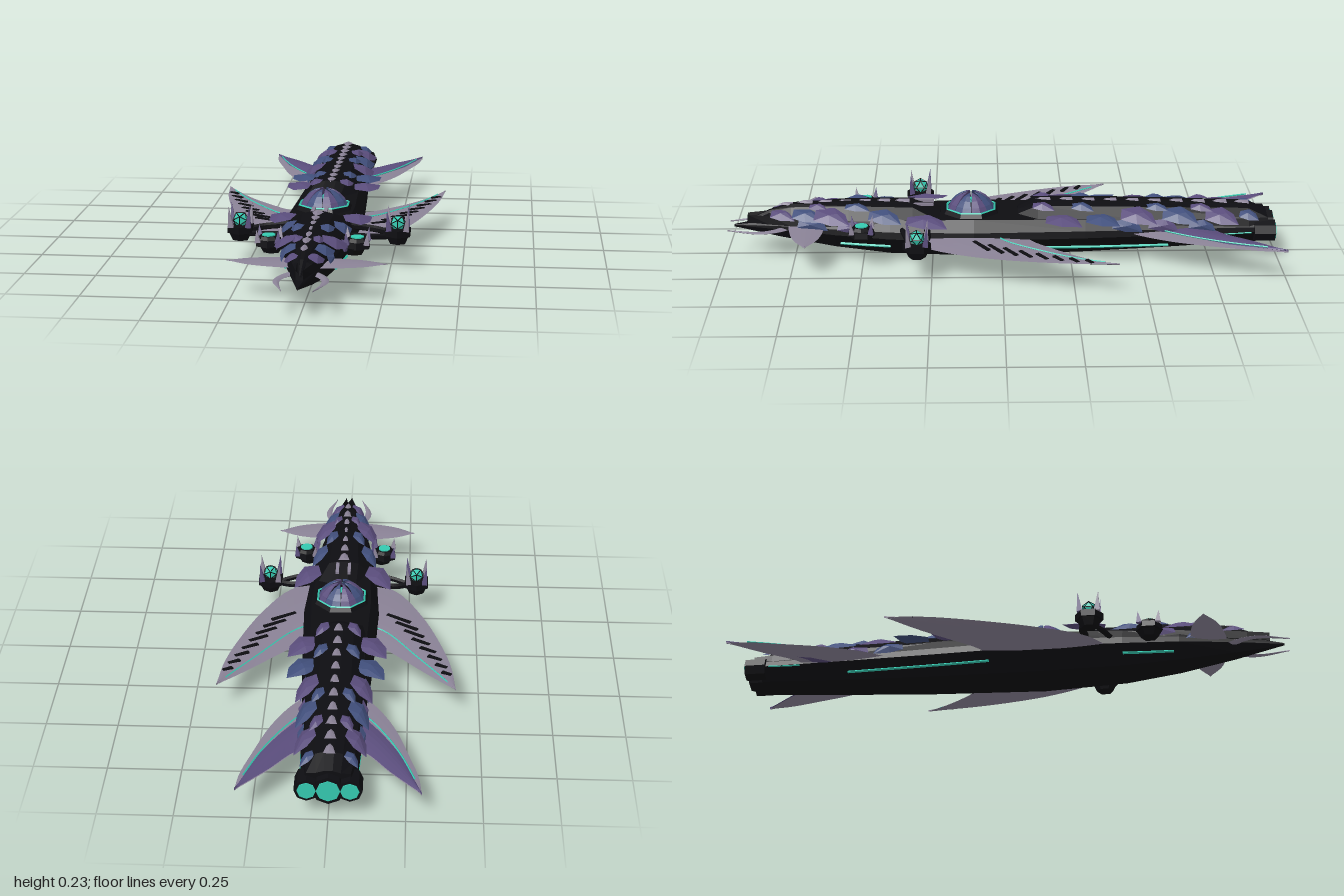
import * as THREE from 'three';
import { ConvexGeometry } from 'three/addons/geometries/ConvexGeometry.js';

const mat = (color) => new THREE.MeshStandardMaterial({ color, flatShading: true, side: THREE.DoubleSide });
const BLACK = mat(0x0d0d11), PURPLE = mat(0x5a4d7c), BLUE = mat(0x414f7c), GREY = mat(0x8a8296), TEAL = mat(0x35c9b0);
const V = (x, y, z) => new THREE.Vector3(x, y, z);

function add(parent, name, geo, material, x = 0, y = 0, z = 0) {
  const m = new THREE.Mesh(geo, material);
  m.name = name;
  m.position.set(x, y, z);
  parent.add(m);
  return m;
}

// Skin closed rings of points, with a cap on both ends
function loft(rings) {
  const pos = [], tri = (...p) => p.forEach((v) => pos.push(v.x, v.y, v.z));
  const n = rings[0].length;
  for (let i = 0; i < rings.length - 1; i++) {
    for (let j = 0; j < n; j++) {
      const k = (j + 1) % n, a = rings[i], b = rings[i + 1];
      tri(a[j], a[k], b[k]);
      tri(a[j], b[k], b[j]);
    }
  }
  const last = rings[rings.length - 1];
  for (let j = 1; j < n - 1; j++) {
    tri(rings[0][0], rings[0][j + 1], rings[0][j]);
    tri(last[0], last[j], last[j + 1]);
  }
  const g = new THREE.BufferGeometry();
  g.setAttribute('position', new THREE.Float32BufferAttribute(pos, 3));
  g.computeVertexNormals();
  return g;
}

// Mirror a half section (bottom to top) into a full ring
function ring(half, z) {
  const right = half.map(([x, y]) => V(x, y, z));
  return [...right, ...half.slice().reverse().map(([x, y]) => V(-x, y, z))];
}

// Curved blade between two edges given in (x, z), both running root to tip
function blade(lead, trail, thick, height) {
  const curve = (pts) => new THREE.CatmullRomCurve3(pts.map(([x, z]) => V(x, 0, z)));
  const a = curve(lead), b = curve(trail);
  const at = (t, s, side = 0) => {
    const p = a.getPoint(t).lerp(b.getPoint(t), s);
    p.y = height(p.x) + side * thick * Math.sin(Math.PI * s) * (1 - 0.7 * t);
    return p;
  };
  const rings = [];
  for (let i = 0; i <= 18; i++) {
    const t = i / 18, r = [];
    for (let j = 0; j < 6; j++) r.push(at(t, j / 6, 1));
    for (let j = 6; j > 0; j--) r.push(at(t, j / 6, -1));
    rings.push(r);
  }
  return { geo: loft(rings), at };
}

function tube(points, r, sides = 4) {
  return new THREE.TubeGeometry(new THREE.CatmullRomCurve3(points), 16, r, sides);
}

// Faceted scale with a swept back outer corner, unit size
const scaleGeo = new ConvexGeometry([
  V(-0.7, 0, 0.9), V(0.4, 0, 1), V(0.95, 0, 0.1), V(1, 0, -1), V(-0.2, 0, -0.75), V(-1, 0, -0.1), V(0.1, 1, 0.15), V(-0.1, 0.8, -0.3)]);
const chevronGeo = new ConvexGeometry([
  V(-1, 0, -1), V(-0.6, 0, 0.4), V(0, 0, 1), V(0.6, 0, 0.4), V(1, 0, -1), V(0, 0.8, -0.9), V(0, 0.8, 0.3)]);

function hull(g) {
  // z, half width, keel height, deck height
  const stations = [[-0.93, 0.092, 0.047, 0.15], [-0.6, 0.108, 0.027, 0.155], [-0.3, 0.123, 0.012, 0.16], [0.1, 0.14, 0.001, 0.165],
    [0.4, 0.122, 0.01, 0.16], [0.6, 0.092, 0.033, 0.155], [0.8, 0.045, 0.067, 0.14], [0.97, 0.003, 0.106, 0.114]];
  add(g, 'hull', loft(stations.map(([z, w, k, d]) => {
    const mid = k + (d - k) * 0.58;
    return ring([[0.001, k], [w * 0.64, k + (mid - k) * 0.22], [w, mid], [w * 0.97, mid + (d - mid) * 0.4], [w * 0.78, d]], z);
  })), BLACK);
  // z, base half width, roof half width, roof height
  const house = (name, list) => add(g, name, loft(list.map(([z, w, r, t]) =>
    ring([[w, 0.125], [w * 0.9, 0.155], [r, t - 0.008], [r * 0.35, t]], z))), BLACK);
  house('rearDeckhouse', [[-0.96, 0.08, 0.04, 0.165], [-0.89, 0.09, 0.045, 0.19], [-0.5, 0.104, 0.055, 0.2], [-0.13, 0.115, 0.055, 0.207], [-0.06, 0.1, 0.04, 0.172]]);
  house('foreDeckhouse', [[0.22, 0.11, 0.05, 0.17], [0.32, 0.115, 0.055, 0.202], [0.55, 0.095, 0.045, 0.205], [0.76, 0.055, 0.025, 0.195], [0.84, 0.035, 0.015, 0.17], [0.92, 0.012, 0.005, 0.132]]);
  const chevron = (z, y, w) => add(g, 'spineChevron', chevronGeo, GREY, 0, y, z).scale.set(w, 0.01, 0.028);
  for (let i = 0; i < 10; i++) chevron(-0.87 + i * 0.08, 0.19 + i * 0.0016, 0.02);
  for (let i = 0; i < 7; i++) chevron(0.36 + i * 0.07, i < 6 ? 0.202 - i * 0.001 : 0.19, 0.021 - i * 0.001);
  for (const x of [-0.022, 0.022]) add(g, 'deckSlat', new THREE.BoxGeometry(0.012, 0.01, 0.09), GREY, x, 0.195, 0.29);
}

function dome(g) {
  const d = new THREE.Group();
  d.name = 'dome';
  d.position.z = 0.11;
  g.add(d);
  const turn = Math.PI / 8;
  add(d, 'domeBase', new THREE.CylinderGeometry(0.095, 0.115, 0.03, 8), BLACK, 0, 0.163, 0).rotation.y = turn;
  const rim = add(d, 'domeRim', new THREE.TorusGeometry(0.092, 0.004, 4, 8), TEAL, 0, 0.179, 0);
  rim.rotation.set(Math.PI / 2, 0, turn);
  add(d, 'domeCore', new THREE.SphereGeometry(0.06, 8, 4, 0, Math.PI * 2, 0, Math.PI / 2), BLACK, 0, 0.155, 0).scale.y = 0.75;
  add(d, 'domeLight', new THREE.OctahedronGeometry(0.016), TEAL, 0, 0.2, 0);
  // Petals taper to a point: radius, height, share of the half angle
  const rows = [[0.084, 0.175, 0.98], [0.073, 0.196, 0.97], [0.055, 0.215, 0.9], [0.036, 0.228, 0.7], [0.018, 0.234, 0.1]];
  const petal = loft(rows.map(([r, y, s]) => [[r, -s], [r + 0.003, 0], [r, s], [r - 0.005, s], [r - 0.005, -s]]
    .map(([q, a]) => V(q * Math.sin(a * turn), y, q * Math.cos(a * turn)))));
  for (let i = 0; i < 8; i++) add(d, 'domePetal', petal, i % 2 ? BLUE : PURPLE).rotation.y = (2 * i + 1) * turn;
}

function engines(g) {
  for (const [x, r] of [[-0.07, 0.041], [0, 0.052], [0.07, 0.041]]) {
    add(g, 'engine', new THREE.CylinderGeometry(r, r, 0.075, 8), BLACK, x, 0.105, -0.948).rotation.x = Math.PI / 2;
    add(g, 'engineGlow', new THREE.CylinderGeometry(r * 0.75, r * 0.75, 0.004, 8), TEAL, x, 0.105, -0.987).rotation.x = Math.PI / 2;
  }
}

function wings(g) {
  // Blade sags in the middle and curls up at the tip
  const wing = blade([[0.12, 0.34], [0.21, 0.27], [0.3, 0.1], [0.36, -0.08], [0.4, -0.25], [0.415, -0.4]],
    [[0.1, -0.08], [0.16, -0.12], [0.23, -0.19], [0.33, -0.3], [0.415, -0.4]], 0.011,
    (x) => 0.097 + (Math.max(0, x - 0.26) / 0.155) ** 2 * 0.017);
  add(g, 'mainWing', wing.geo, GREY);
  const line = [];
  for (let i = 0; i <= 8; i++) line.push(wing.at(0.1 + i * 0.1, 0.75, 1.15));
  add(g, 'wingLightLine', tube(line, 0.003), TEAL);
  for (let i = 0; i < 8; i++) {
    const p = wing.at(0.27 + i * 0.08, 0.42, 1.05);
    add(g, 'wingRib', new THREE.BoxGeometry(0.1 - i * 0.009, 0.006, 0.014), BLACK, p.x, p.y, p.z).rotation.y = 0.55;
  }

  const tailLead = [[0.08, -0.43], [0.15, -0.52], [0.21, -0.64], [0.26, -0.8], [0.29, -0.91], [0.3, -1.0]];
  const tailTrail = [[0.07, -0.76], [0.12, -0.79], [0.2, -0.89], [0.3, -1.0]];
  const tail = blade(tailLead, tailTrail, 0.009, () => 0.11);
  add(g, 'tailFin', tail.geo, GREY);
  const cover = blade([[0.08, -0.54], [0.14, -0.62], [0.22, -0.77], [0.3, -1.0]], tailTrail, 0.014, () => 0.114);
  add(g, 'tailFinCover', cover.geo, PURPLE);
  const edge = [];
  for (let i = 0; i <= 6; i++) edge.push(cover.at(i * 0.15, 0.02, 1).add(V(0, 0.006, 0)));
  add(g, 'tailLightLine', tube(edge, 0.003), TEAL);

  add(g, 'frontFin', blade([[0.03, 0.77], [0.1, 0.763], [0.19, 0.74], [0.265, 0.695]],
    [[0.03, 0.65], [0.1, 0.642], [0.19, 0.657], [0.265, 0.695]], 0.006, () => 0.122).geo, GREY);
  add(g, 'noseMandible', blade([[0.025, 0.74], [0.075, 0.81], [0.09, 0.88], [0.05, 0.99]],
    [[0.02, 0.8], [0.05, 0.83], [0.067, 0.88], [0.05, 0.99]], 0.008, () => 0.108).geo, GREY);
}

function armour(g) {
  // x, y, z, half width, half length, tilt
  const scales = [
    [0.118, 0.165, -0.22, 0.056, 0.065, -0.1], [0.113, 0.165, -0.36, 0.056, 0.06, -0.1],
    [0.092, 0.172, -0.49, 0.045, 0.065, -0.5], [0.087, 0.17, -0.64, 0.042, 0.065, -0.55], [0.083, 0.165, -0.79, 0.042, 0.06, -0.55],
    [0.07, 0.165, -0.89, 0.028, 0.035, -0.5], [0.13, 0.166, 0.27, 0.05, 0.075, -0.2], [0.092, 0.172, 0.42, 0.035, 0.06, -0.6],
    [0.08, 0.17, 0.61, 0.045, 0.065, -0.5], [0.055, 0.168, 0.7, 0.038, 0.055, -0.5], [0.038, 0.162, 0.79, 0.03, 0.045, -0.5],
    [0.052, 0.19, -0.56, 0.024, 0.04, -0.35], [0.05, 0.187, -0.72, 0.024, 0.04, -0.35], [0.056, 0.194, -0.29, 0.026, 0.04, -0.35],
    [0.056, 0.196, -0.15, 0.026, 0.04, -0.35], [0.05, 0.194, 0.52, 0.024, 0.045, -0.35], [0.034, 0.19, 0.66, 0.02, 0.035, -0.4],
    [0.109, 0.14, -0.45, 0.024, 0.055, -1.2], [0.104, 0.138, -0.58, 0.024, 0.055, -1.2], [0.1, 0.135, -0.72, 0.022, 0.05, -1.2],
    [0.109, 0.138, 0.53, 0.022, 0.06, -1.1], [0.076, 0.138, 0.68, 0.022, 0.055, -1.1]];
  scales.forEach(([x, y, z, w, l, tilt], i) => {
    const m = add(g, 'armourScale', scaleGeo, i % 2 ? BLUE : PURPLE, x, y, z);
    m.scale.set(w, 0.014, l);
    m.rotation.z = tilt;
  });
  // Light strips along the hull sides
  add(g, 'sideLight', tube([V(0.117, 0.062, -0.08), V(0.11, 0.06, -0.3), V(0.097, 0.061, -0.6)], 0.005), TEAL);
  add(g, 'sideLight', tube([V(0.106, 0.065, 0.4), V(0.096, 0.067, 0.49), V(0.085, 0.07, 0.58)], 0.005), TEAL);
  add(g, 'sternLight', tube([V(0.098, 0.1, -0.78), V(0.093, 0.105, -0.9)], 0.003), TEAL);
}

function turrets(g) {
  // Upright claws whose points lean outward
  const spikes = (parent, radius, width, base, height) => {
    for (let i = 0; i < 4; i++) {
      const a = Math.PI / 4 + (i * Math.PI) / 2;
      const s = add(parent, 'turretSpike', new THREE.ConeGeometry(width, height, 4), i % 2 ? PURPLE : GREY,
        Math.cos(a) * radius, base + height / 2, Math.sin(a) * radius);
      s.rotation.order = 'YXZ';
      s.rotation.set(0, -a, -0.12);
    }
  };
  const main = new THREE.Group();
  main.name = 'orbTurret';
  main.position.set(0.275, 0, 0.3);
  g.add(main);
  add(main, 'turretBase', new THREE.CylinderGeometry(0.05, 0.05, 0.024, 6), BLACK, 0, 0.13, 0);
  add(main, 'turretFoot', new THREE.CylinderGeometry(0.044, 0.03, 0.03, 6), BLACK, 0, 0.105, 0);
  const orb = new THREE.IcosahedronGeometry(0.028, 0);
  add(main, 'turretOrb', orb, TEAL, 0, 0.161, 0);
  // Dark cage along the orb edges
  const p = orb.attributes.position;
  for (let i = 0; i < p.count; i++) {
    const j = i % 3 === 2 ? i - 2 : i + 1;
    const a = V().fromBufferAttribute(p, i), b = V().fromBufferAttribute(p, j);
    if (a.x + 2 * a.y + 3 * a.z < b.x + 2 * b.y + 3 * b.z) {
      add(main, 'orbCage', new THREE.TubeGeometry(new THREE.LineCurve3(a, b), 1, 0.0022, 3), BLACK, 0, 0.161, 0);
    }
  }
  spikes(main, 0.047, 0.014, 0.14, 0.076);
  add(g, 'turretArm', tube([V(0.245, 0.125, 0.29), V(0.19, 0.13, 0.265), V(0.11, 0.14, 0.27)], 0.012, 6), BLACK);
  add(g, 'turretArm', tube([V(0.245, 0.115, 0.31), V(0.19, 0.12, 0.335), V(0.1, 0.13, 0.36)], 0.01, 6), BLACK);

  const fore = new THREE.Group();
  fore.name = 'foreTurret';
  fore.position.set(0.15, 0, 0.5);
  g.add(fore);
  add(fore, 'turretBase', new THREE.CylinderGeometry(0.044, 0.048, 0.022, 6), BLACK, 0, 0.136, 0);
  add(fore, 'turretFoot', new THREE.CylinderGeometry(0.045, 0.03, 0.025, 6), BLACK, -0.01, 0.115, 0);
  add(fore, 'turretCollar', new THREE.CylinderGeometry(0.031, 0.038, 0.014, 8), BLACK, 0, 0.152, 0);
  add(fore, 'turretLight', new THREE.CylinderGeometry(0.023, 0.023, 0.006, 10), TEAL, 0, 0.16, 0);
  spikes(fore, 0.05, 0.014, 0.142, 0.045);
}

export function createModel() {
  const model = new THREE.Group();
  model.name = 'ship';
  hull(model);
  dome(model);
  engines(model);
  // Paired parts, built once and mirrored
  const left = new THREE.Group();
  left.name = 'leftSide';
  wings(left);
  armour(left);
  turrets(left);
  const right = left.clone();
  right.name = 'rightSide';
  right.scale.x = -1;
  model.add(left, right);
  return model;
}
